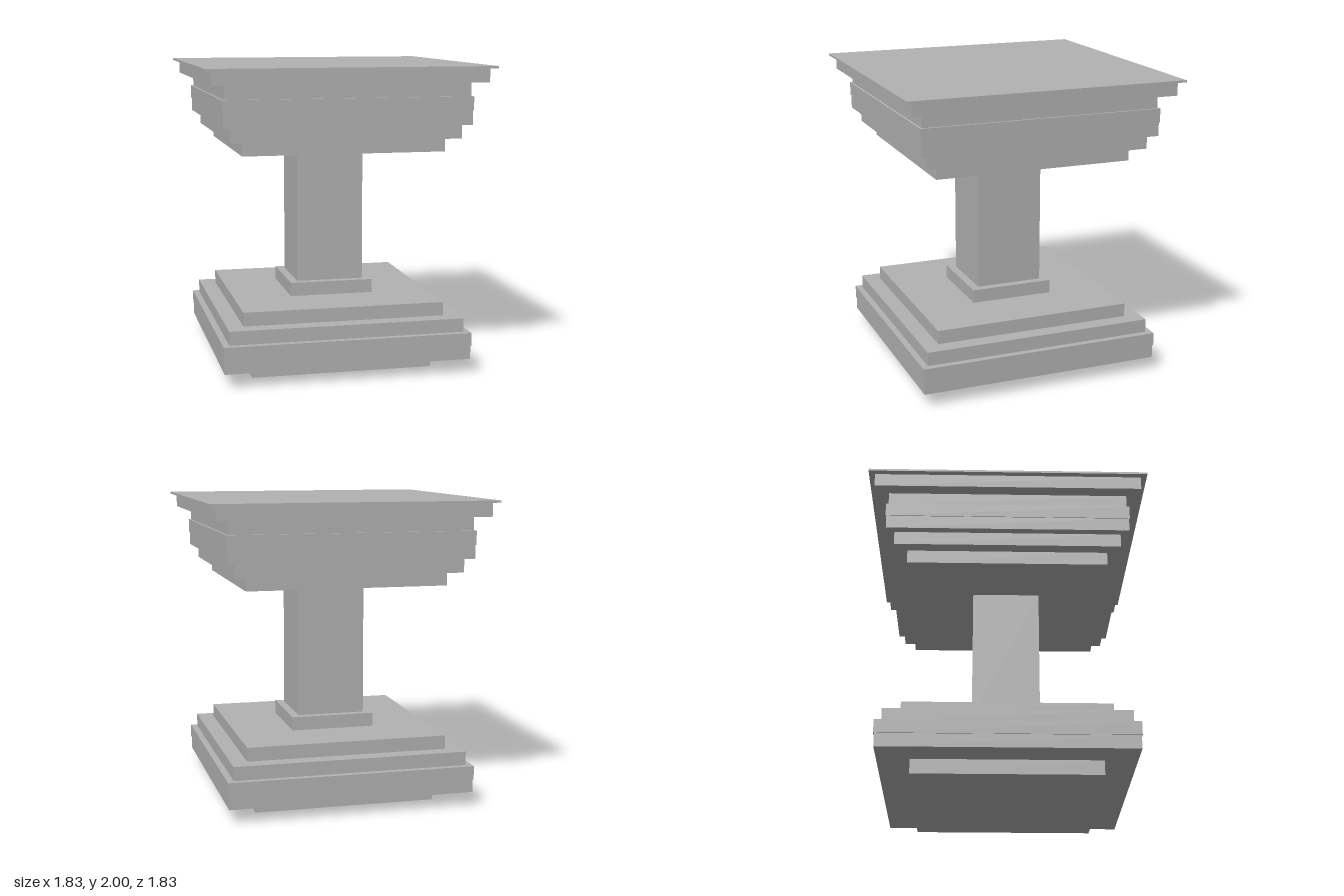
import * as THREE from 'three';

// Square tiers from the ground up: name, half width, bottom, top
const TIERS = [
  ['foot', 0.60, 0, 0.095],
  ['baseSlabLower', 0.807, 0.095, 0.182],
  ['baseSlabUpper', 0.812, 0.182, 0.27],
  ['baseStepLower', 0.77, 0.27, 0.36],
  ['baseStepUpper', 0.663, 0.36, 0.45],
  ['shaftCollar', 0.279, 0.45, 0.54],
  ['shaft', 0.225, 0.54, 1.445],
  ['capStepLower', 0.66, 1.445, 1.535],
  ['capStepUpper', 0.744, 1.535, 1.626],
  ['capSlabLower', 0.797, 1.626, 1.716],
  ['capSlabUpper', 0.802, 1.716, 1.806],
  ['capNeck', 0.787, 1.806, 1.897],
  ['capCornice', 0.877, 1.897, 1.986],
  ['topPlate', 0.917, 1.986, 2],
];

export function createModel() {
  const model = new THREE.Group();
  model.name = 'steppedPedestal';
  const stone = new THREE.MeshStandardMaterial({ color: 0xb2b2b2 });
  stone.name = 'grey stone';

  for (const [name, half, bottom, top] of TIERS) {
    const tier = new THREE.Mesh(new THREE.BoxGeometry(half * 2, top - bottom, half * 2), stone);
    tier.name = name;
    tier.position.y = (bottom + top) / 2;
    model.add(tier);
  }
  return model;
}
